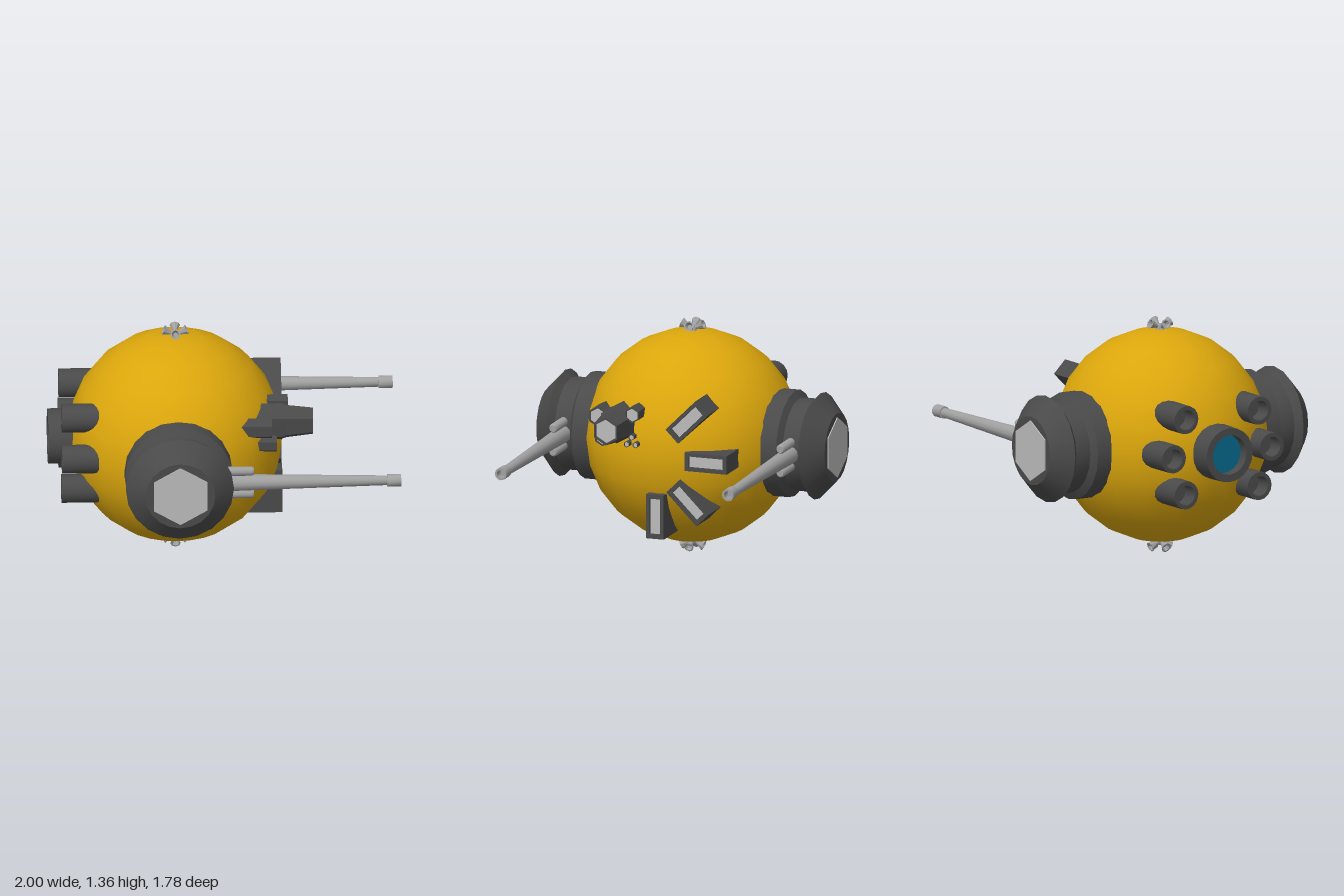
import * as THREE from 'three';
import { toCreasedNormals } from 'three/addons/utils/BufferGeometryUtils.js';

const CX = -0.27, CY = 0.68, R = 0.617;
const mat = (color) => new THREE.MeshStandardMaterial({ color });
const Y = new THREE.Vector3(0, 1, 0);

export function createModel() {
  const model = new THREE.Group();
  const yellow = mat(0xdba60c), dark = mat(0x4a4a4a), light = mat(0xbbbbbb);
  const steel = mat(0xa0a0a0), teal = mat(0x06688a);

  function add(name, geometry, material, parent = model) {
    const mesh = new THREE.Mesh(geometry, material);
    mesh.name = name;
    parent.add(mesh);
    return mesh;
  }

  // Turned part: profile of [radius, distance along axis], axis pointing along dir
  function turned(name, profile, sides, dir, pos, material, parent = model, phase = 0) {
    const pts = profile.map(([r, u]) => new THREE.Vector2(r, u));
    const geo = toCreasedNormals(new THREE.LatheGeometry(pts, sides, phase), 0.6);
    geo.applyQuaternion(new THREE.Quaternion().setFromUnitVectors(Y, dir));
    const mesh = add(name, geo, material, parent);
    mesh.position.set(...pos);
    return mesh;
  }
  const disc = (r, u) => [[r, u - 0.01], [r, u], [0, u]];
  // Open-ended tube with a recessed floor
  const tube = (r0, r1, u0, u1, inner, depth) =>
    [[r0, u0], [r1, u1], [inner, u1], [inner, u1 - depth], [0, u1 - depth]];

  const right = new THREE.Vector3(1, 0, 0), back = new THREE.Vector3(-1, 0, 0);

  // Hull
  add('hull', new THREE.SphereGeometry(R, 24, 12), yellow).position.set(CX, CY, 0);

  // Side turrets with their guns
  for (const s of [1, -1]) {
    const turret = new THREE.Group();
    turret.name = s > 0 ? 'frontTurret' : 'rearTurret';
    model.add(turret);
    const out = new THREE.Vector3(0, 0, s);
    turned('turretHousing', [[0.31, 0.4], [0.31, 0.625], [0.268, 0.65], [0.268, 0.745],
      [0.31, 0.78], [0.2, 0.882], [0, 0.882]], 20, out, [CX, CY, 0], dark, turret);
    turned('turretCap', disc(0.177, 0.888), 6, out, [CX, CY, 0], light, turret);
    const z = s * 0.695;
    turned('gunBarrel', [[0.05, -0.1], [0.05, 0.02], [0.045, 0.2], [0.028, 0.92], [0.036, 0.92],
      [0.036, 1], [0.024, 1], [0.024, 0.94], [0, 0.94]], 12, right, [0, CY, z], steel, turret);
    for (const dy of [-0.07, 0.07])
      turned('recoilCylinder', [[0.027, -0.1], [0.027, 0.145], [0.02, 0.157], [0, 0.157]],
        12, right, [0, CY + dy, z], steel, turret);
  }

  // Main engine and six smaller thrusters on the -x side
  turned('mainEngine', tube(0.165, 0.158, 0.7, 1, 0.115, 0.07), 20, back, [0, CY, 0], dark);
  turned('engineGlow', disc(0.114, 0.94), 20, back, [0, CY, 0], teal);
  for (const s of [1, -1])
    for (const [dy, z] of [[0.22, 0.25], [0, 0.335], [-0.22, 0.25]])
      turned('thruster', tube(0.084, 0.082, 0.6, 0.93, 0.058, 0.1), 16, back, [0, CY + dy, s * z], dark);

  // Framed windows on the +x side: [z, y, roll]
  const W = 0.13, H = 0.054, B = 0.025;
  const rect = (P, w, h) => new P([[-w, -h], [w, -h], [w, h], [-w, h]].map((p) => new THREE.Vector2(...p)));
  const frame = rect(THREE.Shape, W, H);
  frame.holes.push(rect(THREE.Path, W - B, H - B + 0.004));
  const frameGeo = new THREE.ExtrudeGeometry(frame, { depth: 0.243, bevelEnabled: false });
  const paneGeo = new THREE.BoxGeometry(2 * (W - B), 2 * (H - B + 0.004), 0.2);
  for (const [z, y, roll] of [[-0.195, 0.91, 45], [-0.31, 0.677, 0], [-0.2, 0.432, -45], [0, 0.335, 90]]) {
    const win = new THREE.Group();
    win.name = 'window';
    win.position.set(0.1, y, z);
    win.rotation.set(0, Math.PI / 2, roll * Math.PI / 180);
    add('windowFrame', frameGeo, dark, win);
    add('windowPane', paneGeo, light, win).position.z = 0.122;
    model.add(win);
  }

  // Hexagonal sensor cluster on the +x side
  const sensors = new THREE.Group();
  sensors.name = 'sensorCluster';
  model.add(sensors);
  const hex = (name, profile, y, z, material) =>
    turned(name, profile, 6, right, [0, y, z], material, sensors, Math.PI / 2);
  hex('mainSensor', [[0.112, 0.1], [0.112, 0.33], [0.1, 0.36], [0.1, 0.365], [0.082, 0.51],
    [0.07, 0.51], [0.07, 0.49], [0, 0.49]], 0.857, 0.238, dark);
  hex('mainSensorLens', disc(0.07, 0.497), 0.857, 0.238, light);
  // [y, z, radius, start, end]
  for (const [y, z, r, a, b] of [[0.876, 0.376, 0.062, 0.08, 0.27], [0.93, 0.13, 0.048, 0.18, 0.37],
    [0.762, 0.338, 0.05, 0.15, 0.3], [0.752, 0.167, 0.018, 0.2, 0.36],
    [0.795, 0.138, 0.018, 0.2, 0.36], [0.752, 0.114, 0.018, 0.2, 0.36]]) {
    hex('smallSensor', tube(r, r, a, b, r * 0.8, 0.012), y, z, dark);
    hex('smallSensorLens', disc(r * 0.8, b - 0.005), y, z, light);
  }

  // Steering jets at both poles: four flared nozzles around a hub
  for (const s of [1, -1]) {
    const jets = new THREE.Group();
    jets.name = s > 0 ? 'topJets' : 'bottomJets';
    jets.position.set(CX, CY, 0);
    model.add(jets);
    const up = new THREE.Vector3(0, s, 0);
    turned('jetHub', [[0.026, 0.58], [0.026, 0.63], [0.016, 0.645], [0, 0.645]], 8, up, [0, 0, 0], steel, jets);
    for (let i = 0; i < 4; i++) {
      const a = i * Math.PI / 2;
      const dir = new THREE.Vector3(Math.cos(a), s * 0.45, Math.sin(a)).normalize();
      turned('jetNozzle', [[0.01, 0], [0.012, 0.03], [0.03, 0.073], [0.022, 0.073], [0.012, 0.05], [0, 0.05]],
        8, dir, [0, s * 0.623, 0], steel, jets);
    }
  }
  return model;
}
